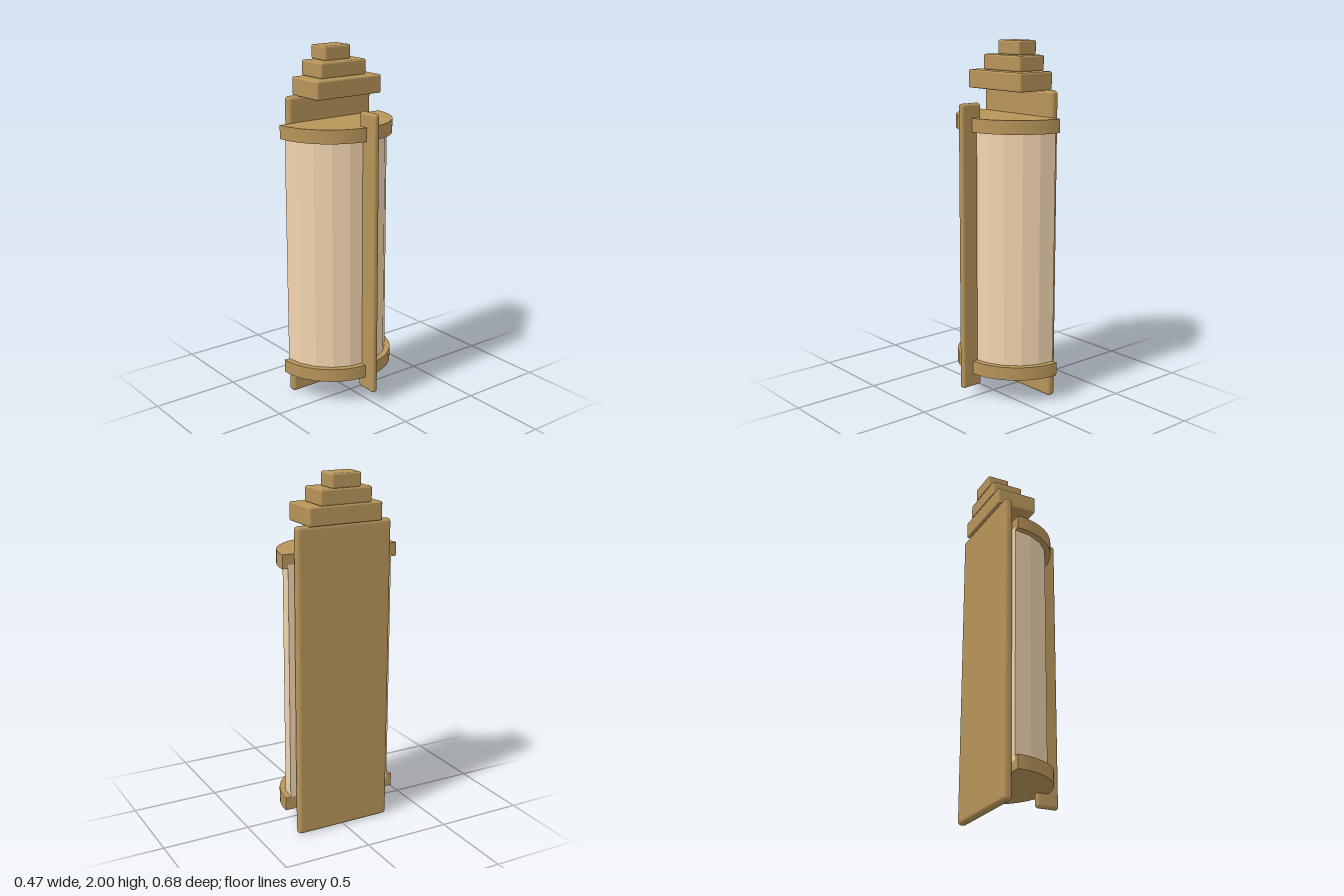
import * as THREE from 'three';
import { RoundedBoxGeometry } from 'three/addons/geometries/RoundedBoxGeometry.js';

const BACK_X = -0.174; // flat back of the half-round body

export function createModel() {
  const root = new THREE.Group();
  root.name = 'wallLamp';
  const brass = new THREE.MeshStandardMaterial({ color: 0xb8955a });
  const glass = new THREE.MeshStandardMaterial({ color: 0xf3d5b0, flatShading: true });

  // rounded block from x and y ranges, centred on z
  function block(name, x0, x1, y0, y1, halfZ, radius) {
    const geo = new RoundedBoxGeometry(x1 - x0, y1 - y0, halfZ * 2, 3, radius);
    const mesh = new THREE.Mesh(geo, brass);
    mesh.position.set((x0 + x1) / 2, (y0 + y1) / 2, 0);
    mesh.name = name;
    root.add(mesh);
  }

  // closed half cylinder bulging towards +x, with a flat back
  function halfRound(name, radius, y0, y1, segments, material) {
    const group = new THREE.Group();
    const h = y1 - y0;
    const curve = new THREE.Mesh(
      new THREE.CylinderGeometry(radius, radius, h, segments, 1, false, 0, Math.PI), material);
    curve.name = name + 'Curve';
    const back = new THREE.Mesh(new THREE.PlaneGeometry(radius * 2, h), material);
    back.rotation.y = -Math.PI / 2;
    back.name = name + 'Back';
    group.add(curve, back);
    group.position.set(BACK_X, (y0 + y1) / 2, 0);
    group.name = name;
    root.add(group);
  }

  // wall plate
  block('backPlate', -0.222, -0.172, 0, 1.74, 0.282, 0.02);

  // stepped crown
  block('crownLower', -0.235, 0, 1.735, 1.837, 0.217, 0.01);
  block('crownMiddle', -0.235, -0.053, 1.837, 1.922, 0.152, 0.01);
  block('crownTop', -0.235, -0.105, 1.922, 2, 0.087, 0.01);

  // faceted shade between two bands
  halfRound('shade', 0.311, 0.2, 1.54, 10, glass);
  halfRound('lowerBand', 0.342, 0.147, 0.222, 20, brass);
  halfRound('upperBand', 0.342, 1.52, 1.596, 20, brass);

  // vertical fin on the front of the shade
  block('fin', 0.104, 0.234, 0.07, 1.675, 0.018, 0.015);

  return root;
}
